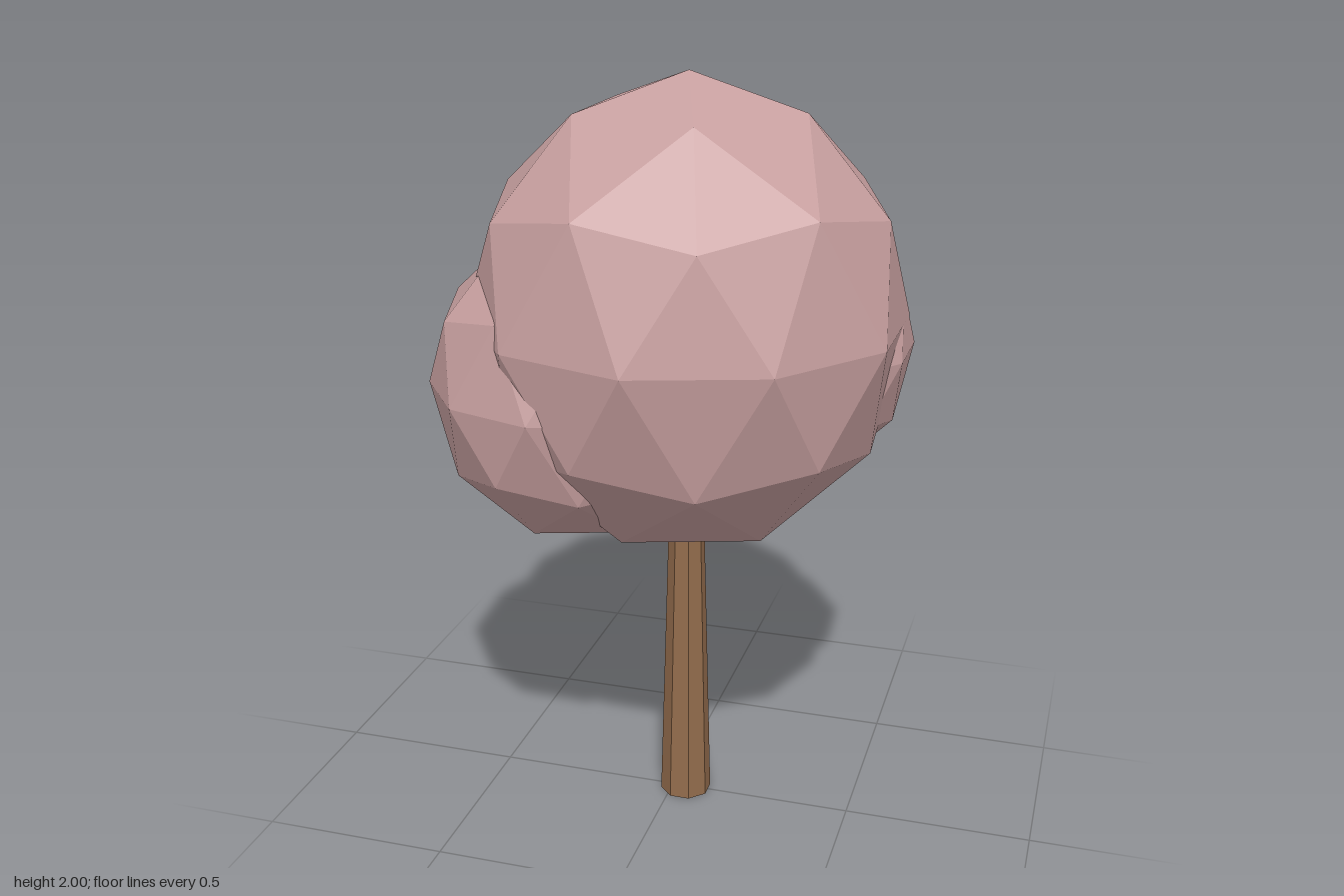
import * as THREE from 'three';

export function createModel() {
  const tree = new THREE.Group();
  tree.name = 'tree';

  const foliage = new THREE.MeshStandardMaterial({ color: 0xc8a0a0, flatShading: true });
  foliage.name = 'dusty pink foliage';
  const bark = new THREE.MeshStandardMaterial({ color: 0x936c4c, flatShading: true });
  bark.name = 'brown bark';

  // Faceted ball with one corner straight up, slightly taller than wide
  const ball = new THREE.IcosahedronGeometry(1, 1);
  ball.rotateZ(-Math.atan2(2, 1 + Math.sqrt(5)));
  ball.scale(1, 1.085, 1);
  ball.computeVertexNormals();

  // Foliage: main crown and two side clumps
  const clumps = [
    ['crown', 0.567, 0.04, 1.385, 0],
    ['rightClump', 0.387, -0.22, 1.22, 0.10],
    ['leftClump', 0.325, 0.28, 1.30, -0.12],
  ];
  for (const [name, radius, x, y, z] of clumps) {
    const clump = new THREE.Mesh(ball, foliage);
    clump.name = name;
    clump.scale.setScalar(radius);
    clump.position.set(x, y, z);
    tree.add(clump);
  }

  // Tapered eight-sided trunk, running up into the crown
  const height = 0.9;
  const trunkShape = new THREE.CylinderGeometry(0.0455, 0.07, height, 8);
  trunkShape.rotateY(Math.PI / 8);
  const trunk = new THREE.Mesh(trunkShape, bark);
  trunk.name = 'trunk';
  trunk.position.set(0.037, height / 2, 0);
  tree.add(trunk);

  return tree;
}
